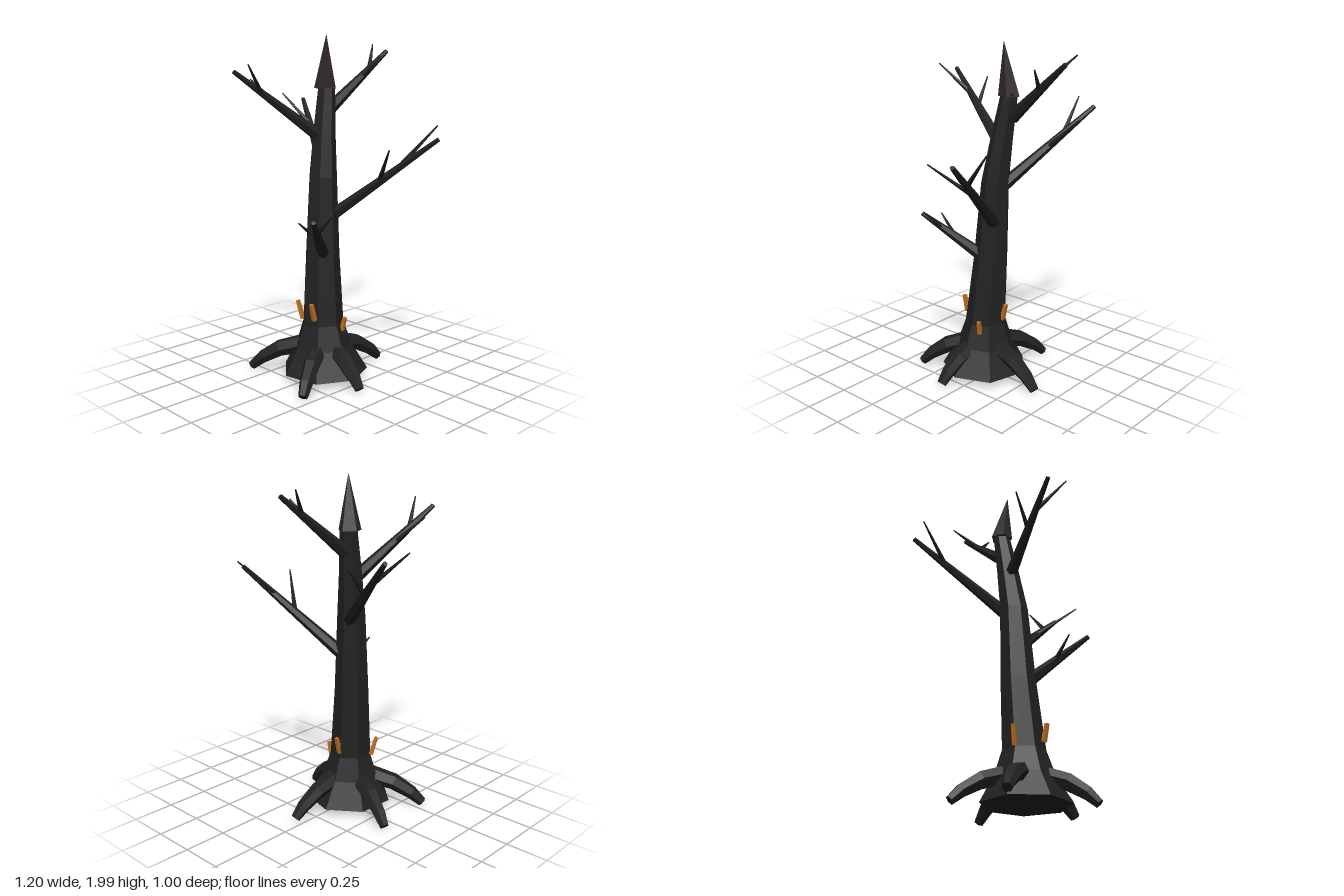
import * as THREE from 'three';

const bark = new THREE.MeshStandardMaterial({ color: 0x222222, flatShading: true });
bark.name = 'charred bark';
const splinter = new THREE.MeshStandardMaterial({ color: 0x302a28, flatShading: true });
splinter.name = 'broken wood';
const ember = new THREE.MeshStandardMaterial({ color: 0xc0701f, flatShading: true });
ember.name = 'orange wood';

const V = (a) => new THREE.Vector3(...a);

// Closed faceted loft along centres with one radius each; level keeps rings horizontal
function loft(centres, radii, sides, phase = 0, level = false) {
  const pts = centres.map(V);
  const up = new THREE.Vector3(0, 1, 0);
  const rings = pts.map((p, i) => {
    const dir = level ? up.clone()
      : pts[Math.min(i + 1, pts.length - 1)].clone().sub(pts[Math.max(i - 1, 0)]).normalize();
    const a = level ? new THREE.Vector3(1, 0, 0) : new THREE.Vector3().crossVectors(up, dir).normalize();
    const b = new THREE.Vector3().crossVectors(dir, a);
    return Array.from({ length: sides }, (_, k) => {
      const t = phase + (k / sides) * Math.PI * 2;
      return p.clone().addScaledVector(a, radii[i] * Math.cos(t)).addScaledVector(b, radii[i] * Math.sin(t));
    });
  });
  const out = [];
  const tri = (...v) => v.forEach((p) => out.push(p.x, p.y, p.z));
  const last = rings.length - 1;
  for (let k = 0; k < sides; k++) {
    const n = (k + 1) % sides;
    for (let i = 0; i < last; i++) {
      tri(rings[i][k], rings[i][n], rings[i + 1][n]);
      tri(rings[i][k], rings[i + 1][n], rings[i + 1][k]);
    }
    tri(pts[0], rings[0][n], rings[0][k]);
    tri(pts[last], rings[last][k], rings[last][n]);
  }
  const g = new THREE.BufferGeometry();
  g.setAttribute('position', new THREE.Float32BufferAttribute(out, 3));
  g.computeVertexNormals();
  return g;
}

export function createModel() {
  const group = new THREE.Group();
  group.name = 'deadTree';
  const add = (name, geo, mat, parent = group) => {
    const m = new THREE.Mesh(geo, mat);
    m.name = name;
    parent.add(m);
    return m;
  };

  // Leaning seven-sided trunk with a flared foot
  add('trunk', loft(
    [[0.01, 0.05, 0.05], [0.0, 0.2, 0.05], [-0.005, 0.34, 0.05], [-0.03, 0.75, 0.03],
      [-0.045, 1.2, 0.01], [-0.065, 1.45, -0.02], [-0.085, 1.72, -0.06]],
    [0.255, 0.17, 0.123, 0.102, 0.083, 0.067, 0.05], 7, -0.05, true), bark);

  // Splintered spike at the top
  add('brokenTop', loft([[-0.09, 1.7, -0.055], [-0.06, 2.0, -0.035]], [0.066, 0.001], 5, 0.4, true), splinter);

  // Branches: start, end, then twigs as start and tip
  const branches = [
    ['rightBranch', [-0.06, 1.18, -0.03], [-0.56, 1.61, -0.31],
      [[-0.39, 1.465, -0.215], [-0.6, 1.65, -0.17]], [[-0.3, 1.39, -0.17], [-0.35, 1.56, -0.35]]],
    ['leftBranch', [0.0, 0.97, -0.02], [0.59, 1.44, -0.25],
      [[0.4, 1.3, -0.18], [0.48, 1.5, -0.38]], [[0.28, 1.2, -0.125], [0.485, 1.395, 0.03]]],
    ['lowFrontBranch', [0.02, 0.76, 0.07], [0.23, 1.01, 0.34],
      [[0.16, 0.925, 0.25], [0.29, 1.04, 0.26]], [[0.11, 0.87, 0.19], [0.09, 0.985, 0.32]]],
    ['highFrontBranch', [-0.07, 1.42, 0.0], [-0.24, 1.8, 0.49],
      [[-0.185, 1.68, 0.34], [-0.1, 1.84, 0.5]], [[-0.15, 1.6, 0.24], [-0.32, 1.755, 0.31]]],
    ['backBranch', [-0.08, 1.58, -0.08], [-0.01, 1.91, -0.49],
      [[-0.03, 1.81, -0.36], [-0.12, 1.95, -0.485]], [[-0.04, 1.76, -0.3], [0.07, 1.88, -0.35]]],
  ];
  for (const [name, start, end, ...twigs] of branches) {
    const limb = new THREE.Group();
    limb.name = name;
    group.add(limb);
    add('bough', loft([start, end], [0.038, 0.013], 6), bark, limb);
    for (const t of twigs) add('twig', loft(t, [0.015, 0.004], 5), bark, limb);
  }

  // Five roots bending down to the ground
  const tips = [[0.05, -0.37], [0.345, 0.095], [0.2, 0.395], [-0.365, 0.3], [-0.395, -0.09]];
  for (const [x, z] of tips) {
    const at = (f, y) => [x * f, y, 0.05 + (z - 0.05) * f];
    add('root', loft([at(0.25, 0.2), at(0.6, 0.155), at(0.85, 0.09), at(1, 0.03)],
      [0.055, 0.05, 0.04, 0.028], 6), bark);
  }

  // Orange slivers leaning out of the trunk: foot and tip
  const slivers = [
    [[0.04, 0.38, 0.158], [0.04, 0.48, 0.183]],
    [[-0.122, 0.34, 0.1], [-0.15, 0.45, 0.115]],
    [[0.108, 0.3, 0.0], [0.125, 0.38, -0.005]],
    [[-0.02, 0.37, -0.065], [-0.02, 0.47, -0.092]],
  ];
  for (const s of slivers) add('sliver', loft(s, [0.017, 0.014], 4, Math.PI / 4), ember);

  return group;
}
